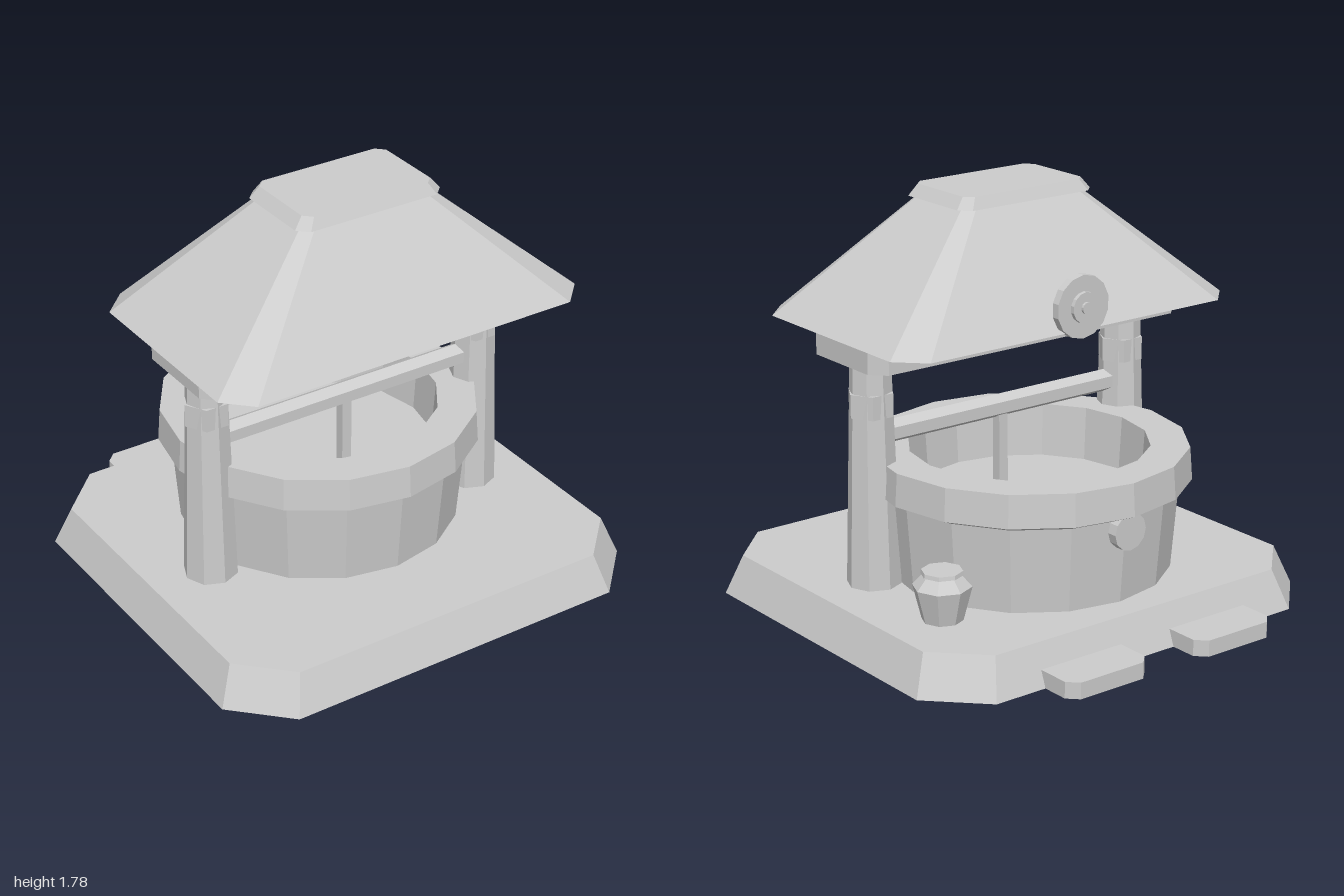
import * as THREE from 'three';

// Corner loop of a rectangle with cut corners at height y, counter-clockwise from above
function loop([y, hx, hz, c]) {
  return [
    [hx, hz - c], [hx, c - hz], [hx - c, -hz], [c - hx, -hz],
    [-hx, c - hz], [-hx, hz - c], [c - hx, hz], [hx - c, hz],
  ].map(([x, z]) => [x, y, z]);
}

// Solid made from stacked loops [y, halfX, halfZ, cornerCut], listed bottom to top
function stack(levels, closedBottom = true) {
  const loops = levels.map(loop);
  const out = [];
  const tri = (a, b, c) => out.push(...a, ...b, ...c);
  for (let i = 0; i + 1 < loops.length; i++) {
    const lo = loops[i], hi = loops[i + 1];
    for (let k = 0; k < 8; k++) {
      const n = (k + 1) % 8;
      tri(lo[k], lo[n], hi[n]);
      tri(lo[k], hi[n], hi[k]);
    }
  }
  const top = loops[loops.length - 1], bottom = loops[0];
  for (let k = 1; k < 7; k++) {
    tri(top[0], top[k], top[k + 1]);
    if (closedBottom) tri(bottom[0], bottom[k + 1], bottom[k]);
  }
  const g = new THREE.BufferGeometry();
  g.setAttribute('position', new THREE.Float32BufferAttribute(out, 3));
  g.computeVertexNormals();
  return g;
}

const lathe = (points, sides) =>
  new THREE.LatheGeometry(points.map(([r, y]) => new THREE.Vector2(r, y)), sides);

export function createModel() {
  const group = new THREE.Group();
  const stone = new THREE.MeshStandardMaterial({ color: 0xcccccc, flatShading: true, side: THREE.DoubleSide });
  stone.name = 'paleStone';

  const add = (name, geometry, x = 0, y = 0, z = 0) => {
    const mesh = new THREE.Mesh(geometry, stone);
    mesh.name = name;
    mesh.position.set(x, y, z);
    group.add(mesh);
    return mesh;
  };

  const frameZ = 0.145; // depth of the posts and roof

  // Sloped plinth, open underneath
  add('plinth', stack([[0, 0.995, 0.918, 0.22], [0.17, 0.93, 0.853, 0.2]], false), 0, 0, 0.082);

  // Well wall with rim, inner wall and floor
  add('wellBasin', lathe([
    [0.6, 0.17], [0.63, 0.535], [0.685, 0.56], [0.675, 0.7],
    [0.51, 0.7], [0.495, 0.47], [0, 0.47],
  ], 16), 0, 0, -0.05);

  // Round plate on the back of the wall
  add('wallDisc', new THREE.CylinderGeometry(0.08, 0.08, 0.045, 12).rotateX(Math.PI / 2), 0, 0.49, -0.688);

  for (const s of [1, -1]) {
    const side = s > 0 ? 'left' : 'right';
    // Post and its collar
    add(side + 'Post', new THREE.CylinderGeometry(0.085, 0.115, 0.98, 8), s * 0.66, 0.66, frameZ);
    add(side + 'Collar', new THREE.CylinderGeometry(0.1, 0.1, 0.1, 6, 1, false, Math.PI / 2), s * 0.66, 0.95, frameZ);
    // Low step behind the plinth, open underneath
    add(side + 'Step', stack([[0, 0.203, 0.13, 0.045], [0.07, 0.203, 0.13, 0.045]], false), s * 0.332, 0, -0.87);
  }

  // Winding axle and the rope hanging from it
  add('axle', new THREE.CylinderGeometry(0.05, 0.05, 1.17, 6, 1, false, Math.PI / 2).rotateZ(Math.PI / 2), 0, 0.81, frameZ);
  add('rope', new THREE.BoxGeometry(0.045, 0.33, 0.045), 0, 0.63, frameZ);

  // Beam, hipped roof and ridge cap
  add('roofBeam', stack([[1.135, 0.798, 0.242, 0.06], [1.255, 0.798, 0.242, 0.06]]), 0, 0, frameZ);
  add('roof', stack([[1.255, 0.855, 0.53, 0.112], [1.735, 0.3, 0.187, 0.04]]), 0, 0, frameZ);
  add('roofCap', stack([[1.73, 0.342, 0.212, 0.045], [1.778, 0.303, 0.188, 0.035]]), 0, 0, frameZ);

  // Stepped round medallion on the back eave
  [[0.132, 0.035, -0.385], [0.065, 0.02, -0.41], [0.025, 0.014, -0.424]].forEach(([r, d, z], i) => {
    add('medallionRing' + (i + 1), new THREE.CylinderGeometry(r, r, d, 14).rotateX(Math.PI / 2), 0, 1.357, z);
  });

  // Clay pot with a lid
  add('pot', lathe([
    [0, 0.17], [0.085, 0.17], [0.122, 0.315], [0.08, 0.36],
    [0.088, 0.363], [0.085, 0.38], [0, 0.38],
  ], 8), 0.675, 0, -0.352);

  return group;
}
